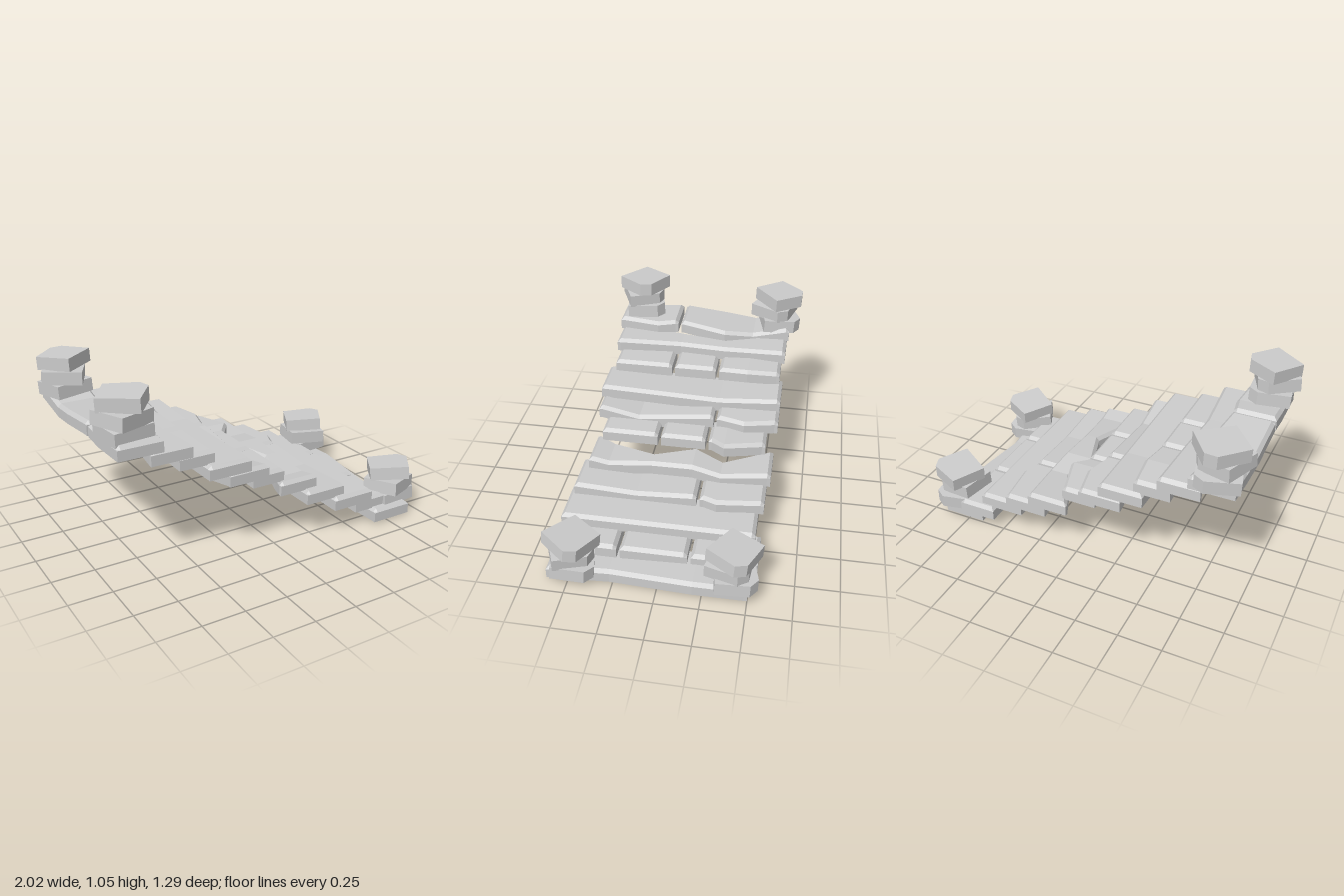
import * as THREE from 'three';

const stone = new THREE.MeshStandardMaterial({ color: 0xcccccc, flatShading: true, side: THREE.DoubleSide });
const BEVEL = 0.02, THICK = 0.08, RISE = 0.072, GAP = 0.01;

// Slab lofted along z, bevelled on top and open below.
// Stations are [z, left x, right x, top y].
function slab(name, stations) {
  const pos = [], idx = [];
  const ring = (z, l, r, top, low) => {
    const y0 = top - THICK, y1 = top - BEVEL, y2 = low ? y1 : top;
    pos.push(l, y0, z, l, y1, z, l + BEVEL, y2, z, r - BEVEL, y2, z, r, y1, z, r, y0, z);
  };
  const last = stations.length - 1;
  ring(...stations[0], true);
  stations.forEach(([z, ...rest], i) => {
    const inset = i === 0 ? BEVEL : i === last ? -BEVEL : 0;
    ring(z + inset, ...rest, false);
  });
  ring(...stations[last], true);
  const end = (last + 2) * 6;
  for (let k = 0; k < end; k += 6) {
    for (let a = k; a < k + 5; a++) idx.push(a, a + 6, a + 7, a, a + 7, a + 1);
  }
  for (let j = 1; j < 5; j++) idx.push(0, j, j + 1, end, end + j + 1, end + j);
  const geo = new THREE.BufferGeometry();
  geo.setAttribute('position', new THREE.Float32BufferAttribute(pos, 3));
  geo.setIndex(idx);
  geo.computeVertexNormals();
  const mesh = new THREE.Mesh(geo, stone);
  mesh.name = name;
  return mesh;
}

// Tread split along z at the cuts; each bend [z, left, right, up] pushes the edges.
function tread(index, left, right, cuts, bends) {
  const group = new THREE.Group();
  group.name = 'tread' + (index + 1);
  const top = THICK + RISE * index;
  for (let k = 0; k < cuts.length - 1; k++) {
    const z0 = cuts[k] + GAP, z1 = cuts[k + 1] - GAP;
    const inner = bends.filter(([z]) => z > z0 && z < z1)
      .map(([z, l, r, up]) => [z, left + l, right + r, top + up]);
    group.add(slab('slab' + (k + 1), [[z0, left, right, top], ...inner, [z1, left, right, top]]));
  }
  return group;
}

// Irregular block with one clipped corner, its middle at the origin.
function block(height) {
  const shape = new THREE.Shape([[-0.12, -0.1], [0.11, -0.12], [0.13, 0.07], [0.08, 0.12], [-0.11, 0.11]]
    .map(([x, y]) => new THREE.Vector2(x, y)));
  const geo = new THREE.ExtrudeGeometry(shape, { depth: height, bevelEnabled: false });
  return geo.translate(0, 0, -height / 2).rotateX(-Math.PI / 2);
}

// Post of three loosely stacked blocks; turns are about y.
function post(name, x, z, base, turns, tilt) {
  const group = new THREE.Group();
  group.name = name;
  const geo = block(0.078);
  turns.forEach((turn, i) => {
    const mesh = new THREE.Mesh(geo, stone);
    mesh.name = 'postBlock' + (i + 1);
    const side = i % 2 ? -1 : 1;
    mesh.position.set(x + side * 0.008, base + 0.04 + i * 0.082, z - side * 0.012);
    mesh.rotation.set(tilt * (i === 1 ? 0.6 : 1), turn, side * 0.05);
    group.add(mesh);
  });
  return group;
}

export function createModel() {
  const model = new THREE.Group();
  model.name = 'stoneStairs';
  // Treads from the bottom up
  model.add(
    tread(0, 0.65, 0.91, [-0.51, 0.63], [[-0.2, 0, 0.01, 0.01], [0.27, 0, -0.03, -0.01]]),
    tread(1, 0.54, 0.77, [-0.55, -0.16, 0.24, 0.58], []),
    tread(2, 0.36, 0.63, [-0.52, 0.61], []),
    tread(3, 0.18, 0.44, [-0.55, -0.16, 0.58], [[-0.27, 0.03, 0.03, 0], [0.2, 0.02, 0, -0.02]]),
    tread(4, 0.03, 0.275, [-0.57, 0.53],
      [[-0.27, 0.12, 0.02, -0.02], [-0.1, 0.05, 0, 0.01], [0.14, 0.13, -0.01, 0], [0.4, 0.04, 0, -0.02]]),
    tread(5, -0.13, 0.075, [-0.52, -0.16, 0.13, 0.49], [[-0.27, 0.02, 0.065, 0.01]]),
    tread(6, -0.31, -0.06, [-0.58, -0.19, 0.54], [[-0.37, 0.02, 0.04, 0], [0.28, 0, 0, -0.05]]),
    tread(7, -0.44, -0.18, [-0.58, 0.55], [[-0.2, 0, 0.01, -0.02]]),
    tread(8, -0.59, -0.38, [-0.56, -0.16, 0.12, 0.5], [[-0.35, 0, 0.02, 0.01]]),
    tread(9, -0.76, -0.52, [-0.58, 0.52], [[-0.18, 0.11, -0.01, -0.01], [0.1, 0.06, -0.03, -0.01]]),
    tread(10, -0.945, -0.69, [-0.59, 0.13, 0.53],
      [[-0.35, 0.01, 0, -0.05], [-0.17, 0, 0.04, -0.03], [0.27, 0, 0.02, -0.01]]),
  );
  model.add(
    post('upperBackPost', -0.84, -0.49, 0.76, [0.3, -0.35, 0.75], -0.06),
    post('upperFrontPost', -0.855, 0.39, 0.79, [0.2, 0.5, -0.55], 0.03),
    post('lowerBackPost', 0.83, -0.41, 0.075, [0.2, -0.15, -0.45], -0.05),
    post('lowerFrontPost', 0.845, 0.485, 0.055, [0.15, 0.5, -0.55], -0.08),
  );
  return model;
}
